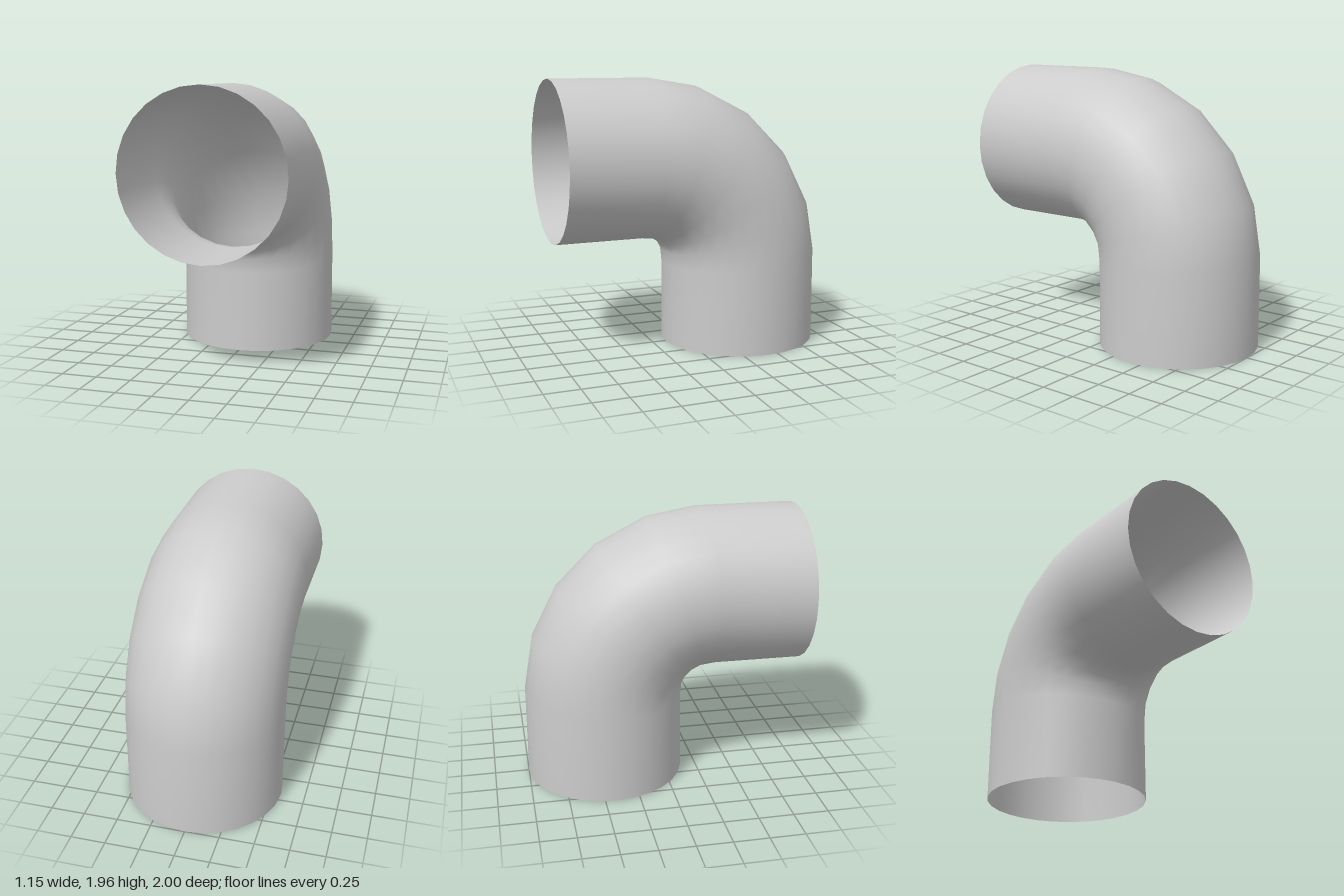
import * as THREE from 'three';

const SIDES = 28;      // facets around the pipe
const RADIUS = 0.5745; // pipe radius
const BEND = 0.75;     // centreline radius of the elbow
const STEPS = 5;       // segments in the bend

// Centreline: straight riser, quarter bend, straight outlet towards the front
function centreline() {
  const z0 = -1 + RADIUS, y0 = 0.633;
  const path = [new THREE.Vector3(0, 0, z0)];
  for (let i = 0; i <= STEPS; i++) {
    const a = (i / STEPS) * Math.PI / 2;
    path.push(new THREE.Vector3(0, y0 + BEND * Math.sin(a), z0 + BEND * (1 - Math.cos(a))));
  }
  path.push(new THREE.Vector3(0, y0 + BEND, 1));
  return path;
}

// Open pipe: one ring per path point, square to the averaged direction there
function sweepPipe(path) {
  const positions = [], index = [];
  const direction = (i) => path[i + 1].clone().sub(path[i]).normalize();
  const last = path.length - 1;
  path.forEach((p, i) => {
    const t = direction(Math.max(i - 1, 0)).add(direction(Math.min(i, last - 1))).normalize();
    for (let j = 0; j < SIDES; j++) {
      const a = (j / SIDES) * Math.PI * 2;
      const n = RADIUS * Math.cos(a); // offset towards the outside of the bend
      positions.push(RADIUS * Math.sin(a), p.y + n * t.z, p.z - n * t.y);
      if (i < last) {
        const k = (j + 1) % SIDES, r = i * SIDES, s = r + SIDES;
        index.push(r + j, s + j, r + k, r + k, s + j, s + k);
      }
    }
  });
  const geometry = new THREE.BufferGeometry();
  geometry.setAttribute('position', new THREE.Float32BufferAttribute(positions, 3));
  geometry.setIndex(index);
  geometry.computeVertexNormals();
  return geometry;
}

export function createModel() {
  const group = new THREE.Group();
  group.name = 'pipeElbow';
  const material = new THREE.MeshStandardMaterial({ color: 0xcccccc, side: THREE.DoubleSide });
  const pipe = new THREE.Mesh(sweepPipe(centreline()), material);
  pipe.name = 'elbowPipe';
  group.add(pipe);
  return group;
}
